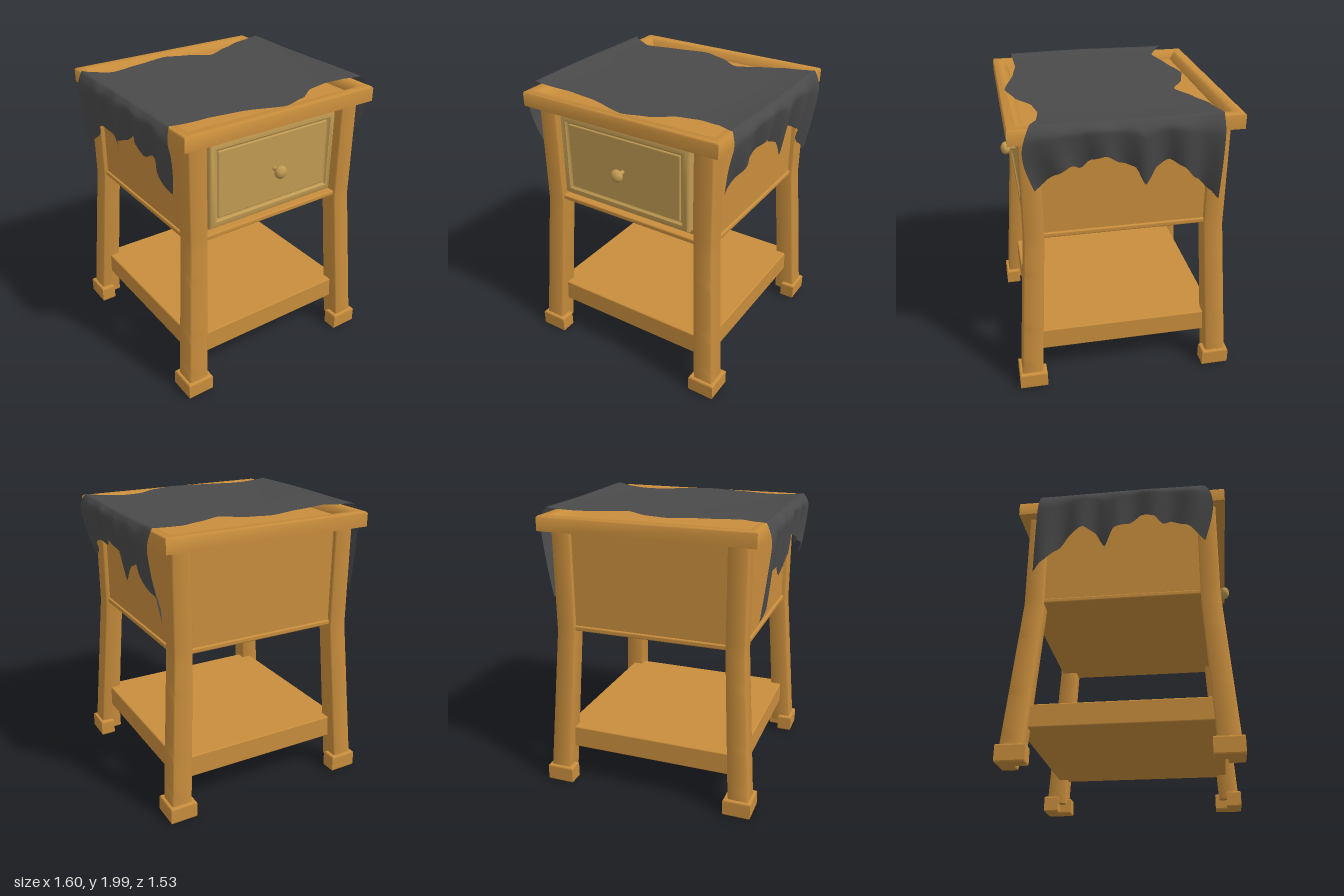
import * as THREE from 'three';
import { toCreasedNormals } from 'three/addons/utils/BufferGeometryUtils.js';
import { RoundedBoxGeometry } from 'three/addons/geometries/RoundedBoxGeometry.js';

const wood = new THREE.MeshStandardMaterial({ color: 0xc88d3c });
const drawerWood = new THREE.MeshStandardMaterial({ color: 0xc09a52 });
const clothMat = new THREE.MeshStandardMaterial({ color: 0x4a4a4a, side: THREE.DoubleSide });

function add(parent, name, geo, mat = wood, x = 0, y = 0, z = 0) {
  const mesh = new THREE.Mesh(geo, mat);
  mesh.name = name;
  mesh.position.set(x, y, z);
  parent.add(mesh);
}

const rbox = (w, h, d, r = 0.01) => new RoundedBoxGeometry(w, h, d, 2, r);

const polygon = pts => new THREE.Shape(pts.map(p => new THREE.Vector2(...p)));

const rectPts = (w, h) => [[-w / 2, -h / 2], [w / 2, -h / 2], [w / 2, h / 2], [-w / 2, h / 2]];

// Mitred frame swept from a closed profile of [inset, height] points, facing +z
function mouldedFrame(w, h, profile) {
  const pos = [];
  const corner = ([inset, z], c) => {
    const [x, y] = rectPts(w - 2 * inset, h - 2 * inset)[c % 4];
    return [x, y, z];
  };
  for (let c = 0; c < 4; c++) {
    profile.forEach((p, i) => {
      const q = profile[(i + 1) % profile.length];
      const a = corner(p, c), b = corner(p, c + 1), d = corner(q, c), e = corner(q, c + 1);
      pos.push(...a, ...b, ...e, ...a, ...e, ...d);
    });
  }
  const geo = new THREE.BufferGeometry();
  geo.setAttribute('position', new THREE.Float32BufferAttribute(pos, 3));
  geo.computeVertexNormals();
  return toCreasedNormals(geo, 0.9);
}

// Softened interpolation in a short table of [position, value] pairs
function sample(table, t) {
  for (let i = 1; i < table.length; i++) {
    const [a, va] = table[i - 1], [b, vb] = table[i];
    if (t <= b) {
      const k = THREE.MathUtils.clamp((t - a) / (b - a), 0, 1);
      return va + (vb - va) * k * (0.5 + 0.5 * k * (3 - 2 * k));
    }
  }
  return table[table.length - 1][1];
}

// Leg that is upright beside the drawer case, splaying and thickening below it
function legGeometry() {
  const s = 0.066, c = 0.008;
  const shape = polygon([[-s + c, -s], [s - c, -s], [s, -s + c], [s, s - c],
    [s - c, s], [-s + c, s], [-s, s - c], [-s, -s + c]]);
  const geo = new THREE.ExtrudeGeometry(shape, { depth: 1.8, steps: 30, bevelEnabled: false });
  geo.rotateX(-Math.PI / 2).translate(0, 0.07, 0);
  const p = geo.attributes.position;
  for (let i = 0; i < p.count; i++) {
    const low = Math.max(0, (1.15 - p.getY(i)) / 1.03);
    const d = 0.606 + 0.066 * low, grow = 1 + 0.1 * low;
    p.setX(i, p.getX(i) * grow + d);
    p.setZ(i, p.getZ(i) * grow - d);
  }
  geo.computeVertexNormals();
  return toCreasedNormals(geo, 0.9);
}

// Corner foot with an L-shaped plan
function footGeometry() {
  const a = 0.583, n = 0.67, b = 0.754;
  const shape = polygon([[a, b], [a, n], [n, n], [n, a], [b, a], [b, b]]);
  const geo = new THREE.ExtrudeGeometry(shape, {
    depth: 0.096, bevelThickness: 0.012, bevelSize: 0.012, bevelSegments: 2 });
  return geo.rotateX(-Math.PI / 2).translate(0, 0.012, 0);
}

// Cloth runner: wavy front and back edges, ragged hems hanging on both sides
const frontEdge = [[-0.8, 0.6], [-0.48, 0.59], [-0.28, 0.62], [0.03, 0.7], [0.2, 0.65], [0.36, 0.55],
  [0.5, 0.53], [0.63, 0.55], [0.74, 0.6], [0.8, 0.63]];
const backEdge = [[-0.8, -0.62], [-0.7, -0.53], [-0.57, -0.465], [-0.35, -0.51], [-0.1, -0.565], [0.05, -0.52],
  [0.22, -0.42], [0.4, -0.5], [0.55, -0.56], [0.8, -0.59]];
const hem = [[-0.61, 1.365], [-0.55, 1.43], [-0.45, 1.53], [-0.35, 1.64], [-0.26, 1.69], [-0.18, 1.65],
  [-0.11, 1.53], [-0.04, 1.66], [0.05, 1.69], [0.15, 1.76], [0.24, 1.73], [0.3, 1.67], [0.36, 1.7],
  [0.46, 1.65], [0.59, 1.53]];

function clothGeometry() {
  const geo = new THREE.PlaneGeometry(2, 1, 110, 72);
  const p = geo.attributes.position;
  for (let i = 0; i < p.count; i++) {
    const u = p.getX(i), v = p.getY(i) + 0.5;             // v: 0 front, 1 back
    const side = Math.sign(u) || 1;
    const over = Math.max(0, (Math.abs(u) - 0.6) / 0.4);  // 0 on top, 1 at the hem
    const topX = side * Math.min(Math.abs(u) / 0.6, 1) * 0.755;
    let z = THREE.MathUtils.lerp(sample(frontEdge, topX), sample(backEdge, topX), v);
    let x = topX;
    let y = 1.97 + 0.018 * Math.pow(Math.abs(topX) / 0.755, 6) + 0.003 * Math.sin(7 * x + 5 * z);
    if (over > 0) {
      const hemZ = THREE.MathUtils.lerp(0.59, -0.61, v);
      const drop = 1.985 - sample(hem, hemZ);
      const k = Math.min(1, over * 3);
      z = THREE.MathUtils.lerp(z, hemZ, over) + 0.06 * Math.sin(Math.PI * over) * Math.pow(1 - v, 4);
      y -= drop * (over * over * 0.35 + over * 0.65);
      const fall = side > 0 ? 0.14 : 0.07;
      const fold = 0.022 * over * (1 + Math.sin(hemZ * 24 + side));
      x += side * (0.05 * Math.sin(k * Math.PI / 2) - fall * drop * over * over - fold);
    }
    p.setXYZ(i, x, y, z);
  }
  geo.computeVertexNormals();
  return geo;
}

export function createModel() {
  const model = new THREE.Group();
  model.name = 'nightstand';

  // Four legs with feet, one per corner
  const leg = legGeometry(), foot = footGeometry();
  for (let i = 0; i < 4; i++) {
    const corner = new THREE.Group();
    corner.name = 'leg' + (i + 1);
    corner.rotation.y = i * Math.PI / 2;
    add(corner, 'legPost', leg);
    add(corner, 'foot', foot);
    model.add(corner);
  }

  // Low shelf
  add(model, 'shelf', rbox(1.32, 0.16, 1.32), wood, 0, 0.333, 0);

  // Drawer case with a slim base lip
  add(model, 'case', new THREE.BoxGeometry(1.28, 0.68, 1.24), wood, 0, 1.52, -0.02);
  add(model, 'caseBase', rbox(1.31, 0.035, 1.31), wood, 0, 1.178, 0);
  add(model, 'frontTopRail', rbox(1.1, 0.03, 0.05), wood, 0, 1.845, 0.61);

  // Drawer front with moulding, panel and knob
  const drawer = new THREE.Group();
  drawer.name = 'drawer';
  drawer.position.set(-0.01, 1.53, 0.6);
  model.add(drawer);
  add(drawer, 'drawerFrame', mouldedFrame(1.01, 0.595,
    [[0, 0], [0, 0.045], [0.012, 0.06], [0.045, 0.06], [0.055, 0.045], [0.075, 0.04], [0.075, 0]]), drawerWood);
  add(drawer, 'drawerPanel', rbox(0.88, 0.47, 0.04), drawerWood, 0, 0, 0.033);
  add(drawer, 'knobStem', new THREE.CylinderGeometry(0.012, 0.015, 0.07, 12).rotateX(Math.PI / 2),
    drawerWood, 0, 0, 0.08);
  add(drawer, 'knob', new THREE.SphereGeometry(0.045, 24, 16).scale(1, 1, 0.75), drawerWood, 0, 0, 0.121);

  // Table top: moulded rim around a sunken panel
  const rim = mouldedFrame(1.48, 1.48, [[0, 0], [0, 0.09], [0.008, 0.1], [0.06, 0.1],
    [0.075, 0.085], [0.11, 0.05], [0.11, 0]]);
  add(model, 'topRim', rim.rotateX(-Math.PI / 2), wood, 0, 1.86, 0);
  add(model, 'topPanel', new THREE.BoxGeometry(1.27, 0.05, 1.27), wood, 0, 1.885, 0);

  add(model, 'cloth', clothGeometry(), clothMat);
  return model;
}
